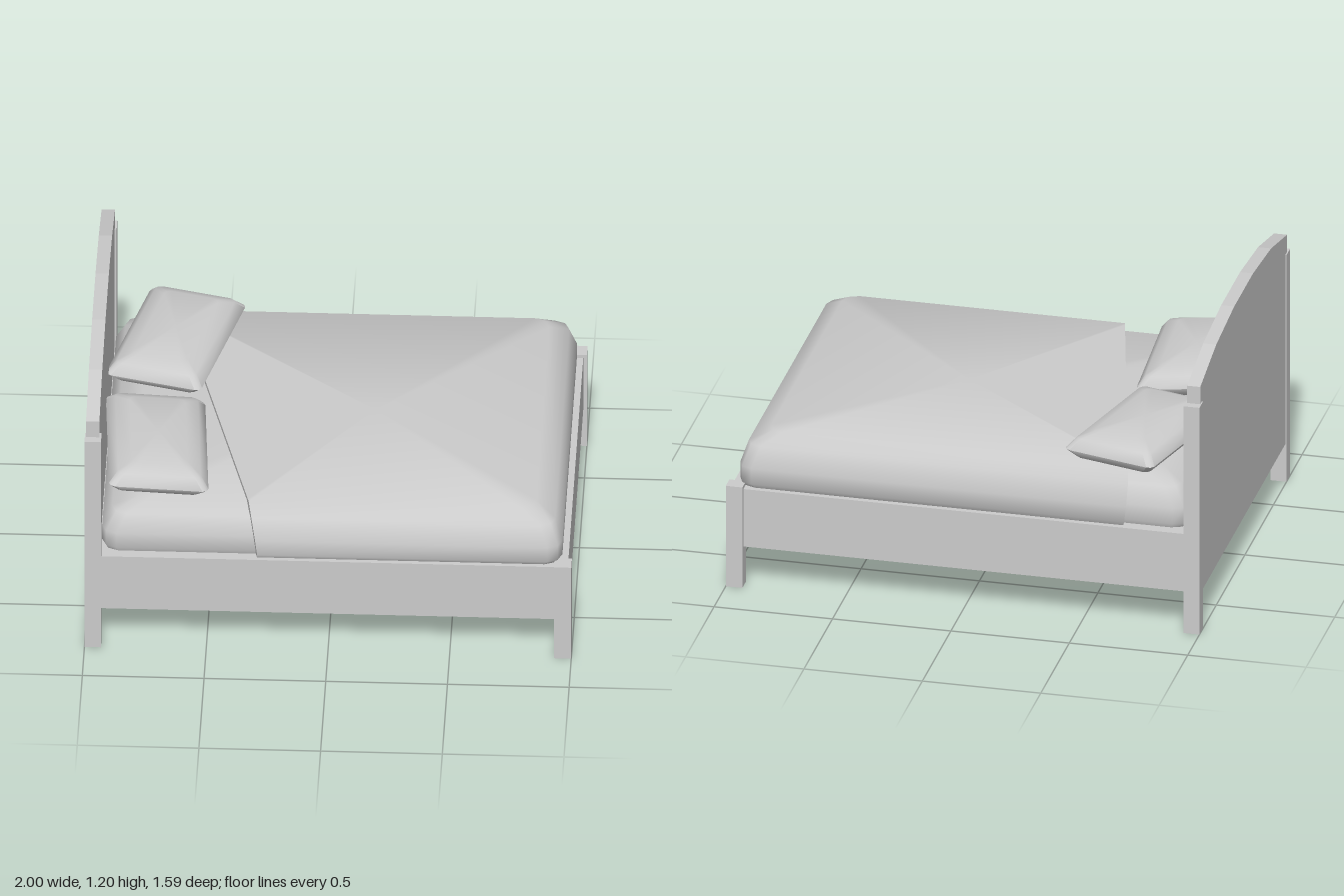
import * as THREE from 'three';
import { toCreasedNormals } from 'three/addons/utils/BufferGeometryUtils.js';

const material = new THREE.MeshStandardMaterial({ color: 0xcccccc });

function addMesh(parent, name, geometry, x = 0, y = 0, z = 0) {
  const mesh = new THREE.Mesh(geometry, material);
  mesh.name = name;
  mesh.position.set(x, y, z);
  parent.add(mesh);
  return mesh;
}

// Box given by its min and max corners
function addBox(parent, name, x0, x1, y0, y1, z0, z1) {
  return addMesh(parent, name, new THREE.BoxGeometry(x1 - x0, y1 - y0, z1 - z0),
    (x0 + x1) / 2, (y0 + y1) / 2, (z0 + z1) / 2);
}

// Soft block: stacked rounded rectangles. Each layer is [y, insetX, insetZ];
// warp may move the points before the surface is closed.
function softBlock(hx, hz, corner, layers, crease, warp = () => {}) {
  const steps = 2, perRing = 4 * (steps + 1);
  const points = [], index = [];
  for (const [y, insetX, insetZ] of layers) {
    for (let q = 0; q < 4; q++) {
      const sx = q === 0 || q === 3 ? 1 : -1, sz = q < 2 ? 1 : -1;
      for (let s = 0; s <= steps; s++) {
        const a = (q + s / steps) * Math.PI / 2;
        const p = new THREE.Vector3(
          sx * (hx - insetX - corner) + corner * Math.cos(a), y,
          sz * (hz - insetZ - corner) + corner * Math.sin(a));
        warp(p);
        points.push(p);
      }
    }
  }
  const last = (layers.length - 1) * perRing;
  for (const start of [0, last]) {
    const centre = new THREE.Vector3();
    for (let i = 0; i < perRing; i++) centre.addScaledVector(points[start + i], 1 / perRing);
    points.push(centre);
  }
  const bottom = last + perRing, top = bottom + 1;
  for (let i = 0; i < perRing; i++) {
    const j = (i + 1) % perRing;
    for (let r = 0; r < last; r += perRing) {
      const a = r + i, b = r + j, c = a + perRing, d = b + perRing;
      index.push(a, c, b, b, c, d);
    }
    index.push(bottom, i, j, top, last + j, last + i);
  }
  const geometry = new THREE.BufferGeometry().setFromPoints(points);
  geometry.setIndex(index);
  return toCreasedNormals(geometry, crease);
}

export function createModel() {
  const bed = new THREE.Group();
  bed.name = 'bed';

  // Corner posts, tall at the head and short at the foot
  for (const side of [-1, 1]) {
    const z0 = side > 0 ? 0.73 : -0.795, z1 = z0 + 0.065;
    addBox(bed, 'headPost', -1, -0.932, 0, 1.027, z0, z1);
    addBox(bed, 'footPost', 0.93, 1, 0, 0.455, z0, z1);
  }

  // Solid base with side rails
  addBox(bed, 'bedFrame', -0.95, 0.985, 0.18, 0.44, -0.777, 0.772);

  // Arched headboard
  const arch = new THREE.Shape([
    [-0.76, 0.17], [0.76, 0.17], [0.76, 1.105], [0.48, 1.17],
    [0.165, 1.2], [-0.165, 1.2], [-0.48, 1.17], [-0.76, 1.105],
  ].map(([z, y]) => new THREE.Vector2(z, y)));
  const board = addMesh(bed, 'headboard',
    new THREE.ExtrudeGeometry(arch, { depth: 0.055, bevelEnabled: false }), -0.995);
  board.rotation.y = Math.PI / 2;

  // Mattress
  addMesh(bed, 'mattress', softBlock(0.92, 0.735, 0.06, [
    [0.435, 0.01, 0.01], [0.46, 0, 0], [0.53, 0, 0],
    [0.61, 0.04, 0.03], [0.65, 0.13, 0.09],
  ], 1), -0.012);

  // Blanket, cut along a slanted edge towards the head
  addMesh(bed, 'blanket', softBlock(0.96, 0.765, 0.06, [
    [0.435, 0.015, 0.015], [0.46, 0, 0], [0.53, 0, 0],
    [0.62, 0.03, 0.03], [0.668, 0.11, 0.085],
  ], 1, (p) => {
    if (p.x < 0) p.x = -0.5 + 0.25 * p.z + 0.12 * Math.max(0, 0.6 - p.y);
  }));

  // Two pillows: position, turn, tilt
  const pillow = softBlock(0.205, 0.325, 0.025, [
    [-0.066, 0.09, 0.09], [-0.042, 0.035, 0.035], [0, 0, 0],
    [0.042, 0.035, 0.035], [0.066, 0.09, 0.09],
  ], 1.4);
  for (const [name, x, y, z, turn, tilt] of [
    ['leftPillow', -0.72, 0.712, 0.347, 0.063, -0.09],
    ['rightPillow', -0.675, 0.715, -0.4, -0.257, 0],
  ]) {
    const mesh = addMesh(bed, name, pillow, x, y, z);
    mesh.rotation.set(0, turn, tilt, 'YXZ');
  }

  return bed;
}
